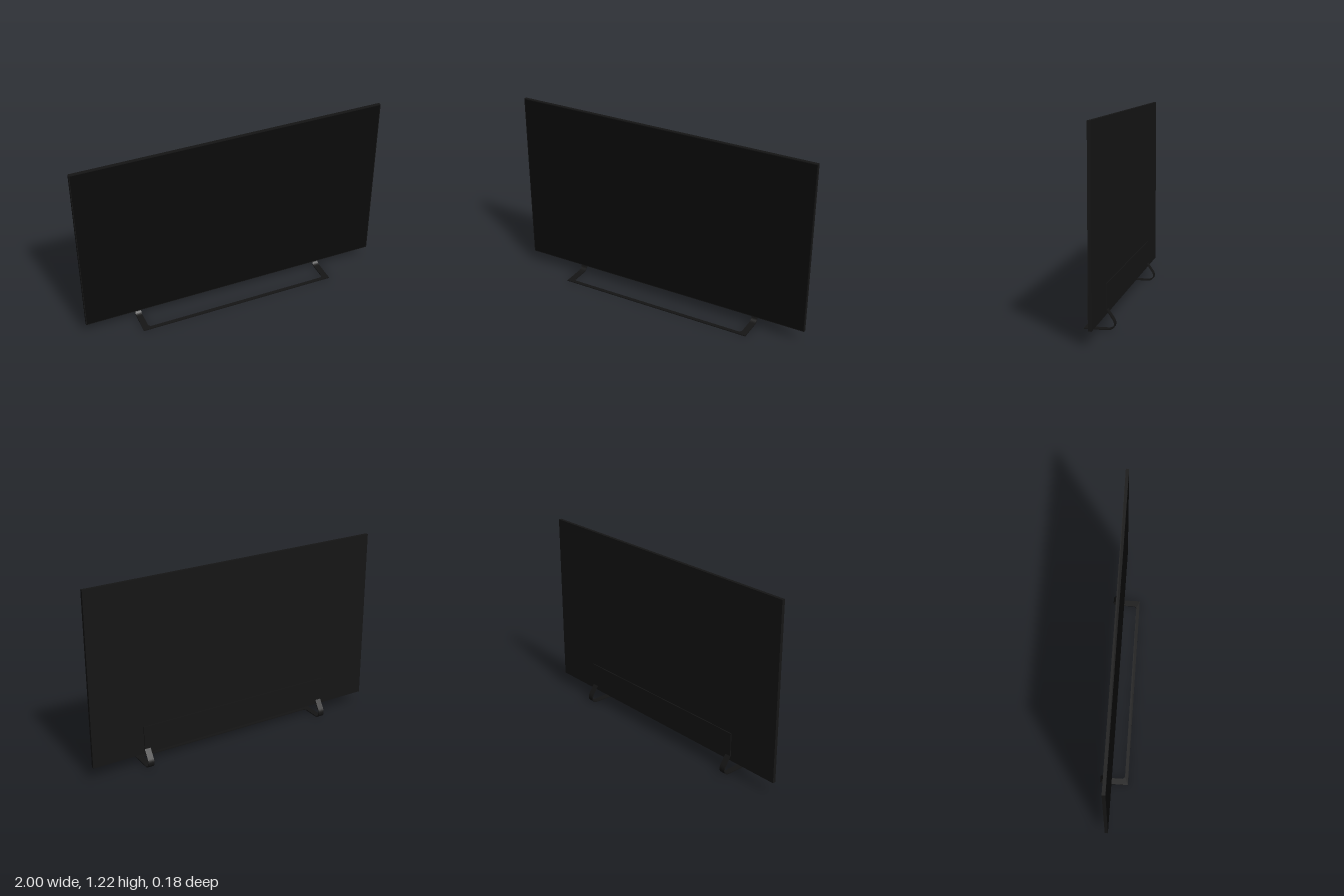
import * as THREE from 'three';

const bodyMat = new THREE.MeshStandardMaterial({ color: 0x151515 });
const screenMat = new THREE.MeshStandardMaterial({ color: 0x0a0a0a });

function box(name, size, pos, mat) {
  const m = new THREE.Mesh(new THREE.BoxGeometry(...size), mat);
  m.position.set(...pos);
  m.name = name;
  return m;
}

const T = 0.006; // thickness of the sheet metal stand
const OUT = 0.66, IN = 0.62; // outer and inner x of the feet

// Closed side profile (z, y) of one bent foot strip
function footShape() {
  const path = new THREE.CurvePath();
  const v = (z, y) => new THREE.Vector2(z, y);
  path.add(new THREE.LineCurve(v(-0.042, 0.12), v(-0.08, 0.063)));
  path.add(new THREE.CubicBezierCurve(v(-0.08, 0.063), v(-0.098, 0.036), v(-0.088, 0.003), v(-0.045, 0.003)));
  path.add(new THREE.LineCurve(v(-0.045, 0.003), v(0.07, 0.003)));
  const mid = [];
  path.curves.forEach((c, i) => {
    const pts = c.getPoints(i === 1 ? 16 : 1);
    mid.push(...(i ? pts.slice(1) : pts));
  });
  const side = (s) => mid.map((p, i) => {
    const a = mid[Math.max(i - 1, 0)], b = mid[Math.min(i + 1, mid.length - 1)];
    const d = b.clone().sub(a).normalize();
    return v(p.x - d.y * s * T / 2, p.y + d.x * s * T / 2);
  });
  return new THREE.Shape([...side(1), ...side(-1).reverse()]);
}

export function createModel() {
  const g = new THREE.Group();

  // Thin display
  g.add(box('displayPanel', [2, 1.13, 0.02], [0, 0.65, -0.026], bodyMat));
  g.add(box('screen', [1.99, 1.12, 0.001], [0, 0.65, -0.0158], screenMat));

  // Mounting plate behind the display
  g.add(box('mountingPlate', [2 * OUT, 0.152, T], [0, 0.196, -0.042], bodyMat));

  // Bent feet on both sides
  const w = OUT - IN;
  const footGeo = new THREE.ExtrudeGeometry(footShape(), { depth: w, bevelEnabled: false });
  footGeo.translate(0, 0, -w / 2).rotateY(-Math.PI / 2);
  for (const s of [-1, 1]) {
    const foot = new THREE.Mesh(footGeo, bodyMat);
    foot.name = s > 0 ? 'leftFoot' : 'rightFoot';
    foot.position.x = s * (OUT + IN) / 2;
    g.add(foot);
  }

  // Front floor bar with small chamfers where it meets the feet
  const bar = new THREE.Shape([
    [-OUT, -0.091], [OUT, -0.091], [OUT, -0.055], [IN, -0.055], [IN - 0.012, -0.069],
    [-IN + 0.012, -0.069], [-IN, -0.055], [-OUT, -0.055],
  ].map((p) => new THREE.Vector2(...p)));
  const barGeo = new THREE.ExtrudeGeometry(bar, { depth: T, bevelEnabled: false });
  barGeo.rotateX(-Math.PI / 2);
  const barMesh = new THREE.Mesh(barGeo, bodyMat);
  barMesh.name = 'frontFloorBar';
  g.add(barMesh);

  return g;
}
